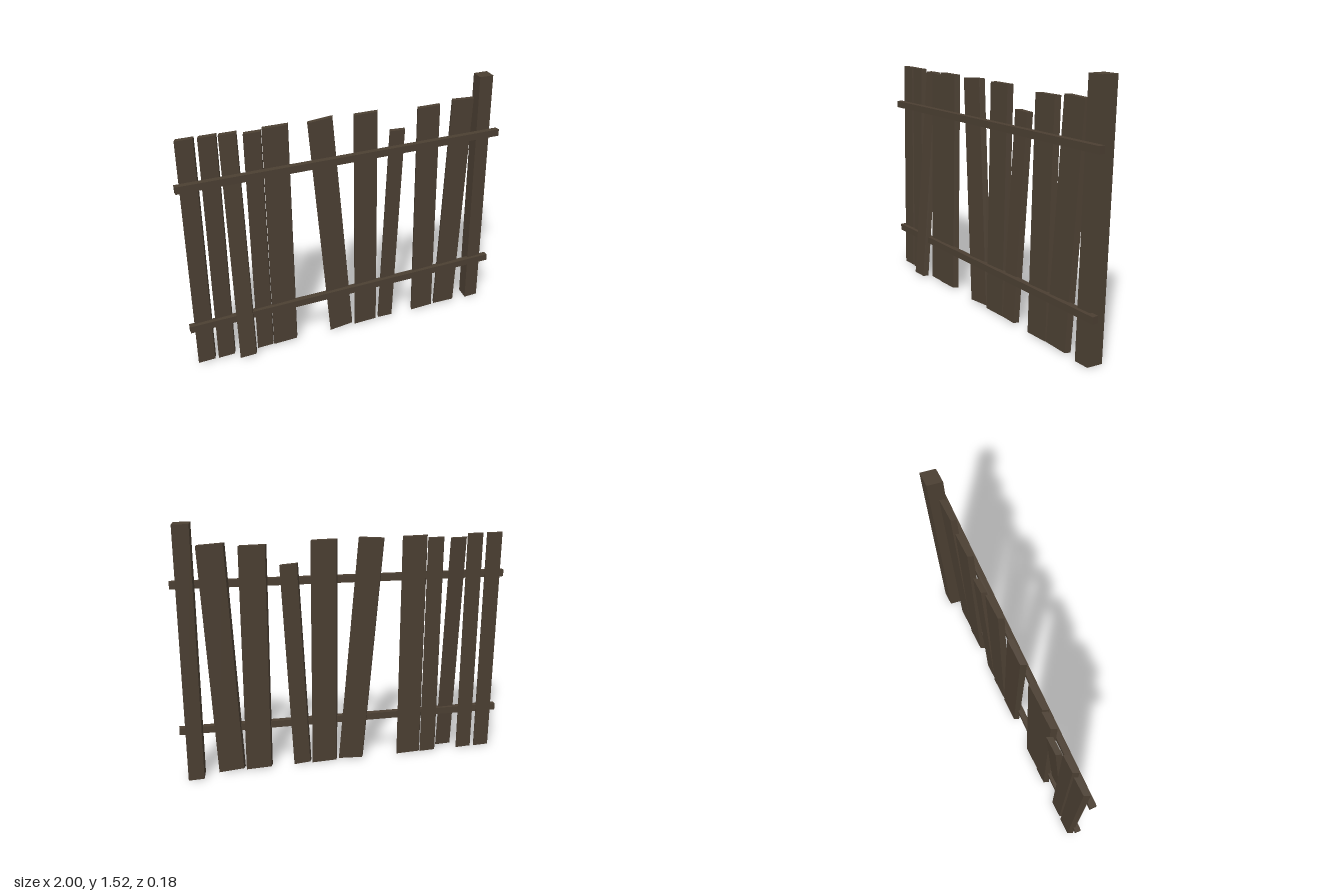
import * as THREE from 'three';

const wood = new THREE.MeshStandardMaterial({ color: 0x4b3f32 });
wood.name = 'weatheredWood';

// Upright board: centre line runs from (xb, y0, zb) to (xt, y1, zt), slightly skewed in plan
function upright(name, { xb, xt = xb, y0 = 0, y1, zb, zt, w, d, skew = 0.013 }) {
  const g = new THREE.BoxGeometry(1, 1, 1).toNonIndexed();
  const p = g.attributes.position;
  const lean = (xt - xb) / (y1 - y0);
  for (let i = 0; i < p.count; i++) {
    const sx = p.getX(i), t = p.getY(i) + 0.5, sz = p.getZ(i);
    p.setXYZ(i,
      THREE.MathUtils.lerp(xb, xt, t) + sx * w - sz * skew,
      THREE.MathUtils.lerp(y0, y1, t) - sx * w * lean,
      THREE.MathUtils.lerp(zb, zt, t) + sz * d - sx * w * 0.04);
  }
  g.computeVertexNormals();
  const mesh = new THREE.Mesh(g, wood);
  mesh.name = name;
  return mesh;
}

export function createModel() {
  const fence = new THREE.Group();
  fence.name = 'brokenFence';

  // Pickets: bottom x, top x, width, bottom y, top y
  const pickets = [
    [-0.915, -0.915, 0.10, 0.005, 1.40],
    [-0.793, -0.793, 0.10, 0.005, 1.40],
    [-0.675, -0.675, 0.10, 0.01, 1.385],
    [-0.548, -0.548, 0.10, 0.005, 1.385],
    [-0.418, -0.418, 0.152, 0.005, 1.40],
    [-0.042, -0.155, 0.152, 0.01, 1.40],
    [0.125, 0.125, 0.152, 0.005, 1.40],
    [0.265, 0.331, 0.10, 0.008, 1.268],
    [0.534, 0.534, 0.152, 0.005, 1.385],
    [0.700, 0.765, 0.15, 0.008, 1.40],
  ];
  pickets.forEach(([xb, xt, w, y0, y1], i) => {
    const loose = i === 2; // this one has swung out over the lower rail
    fence.add(upright(loose ? 'loosePicket' : 'picket' + (i + 1), {
      xb, xt, w, y0, y1, d: 0.032,
      zb: loose ? 0.075 : 0.015, zt: loose ? -0.048 : -0.014,
    }));
  });

  // Tall end post
  fence.add(upright('endPost', {
    xb: 0.914, y1: 1.525, zb: -0.012, zt: -0.039, w: 0.093, d: 0.092,
  }));

  // Two cross rails, rising slightly to one side
  for (const [name, y] of [['upperRail', 1.157], ['lowerRail', 0.273]]) {
    const rail = new THREE.Mesh(new THREE.BoxGeometry(2, 0.042, 0.036), wood);
    rail.name = name;
    rail.position.set(0, y, 0.032);
    rail.rotation.z = 0.014;
    fence.add(rail);
  }
  return fence;
}
